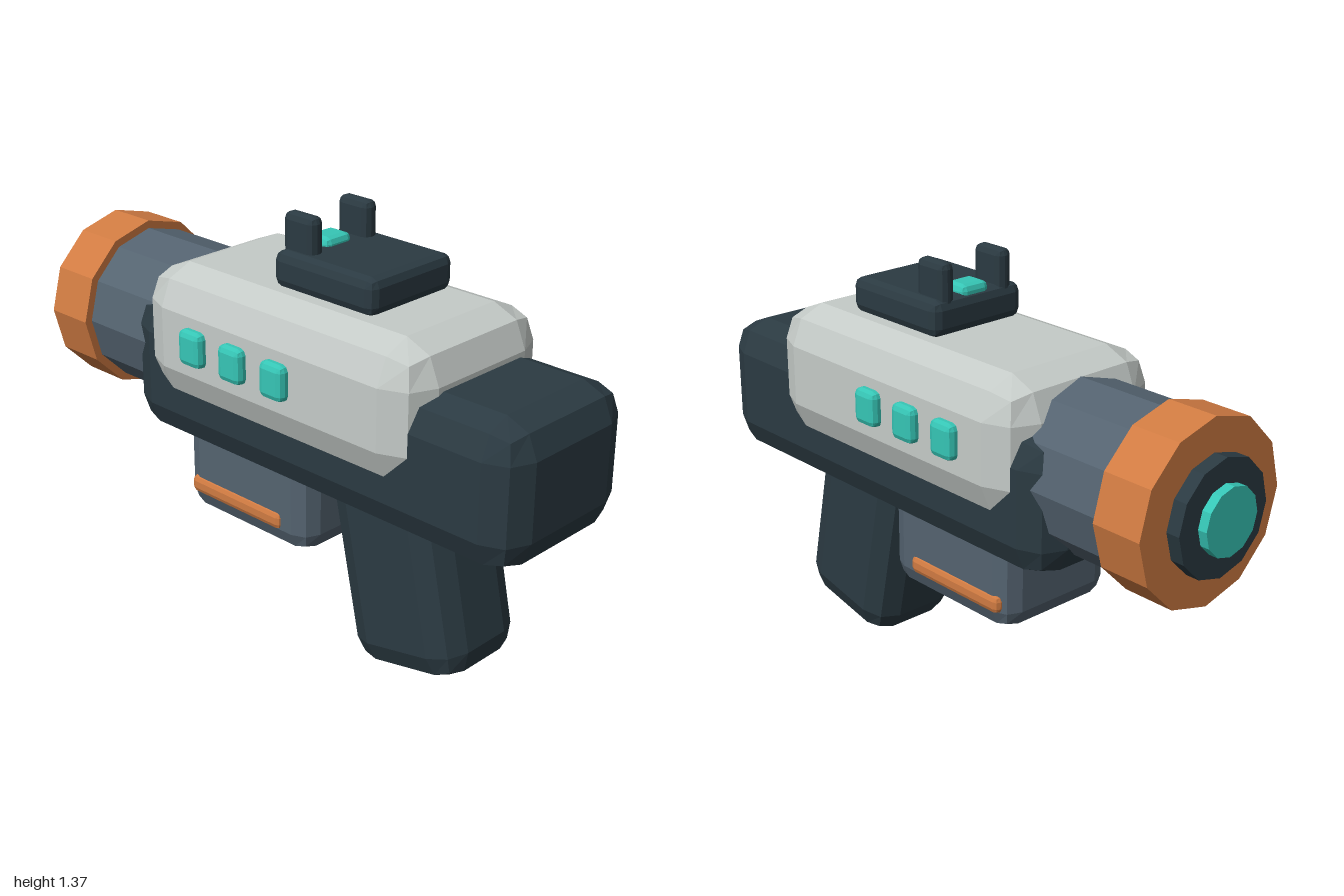
import * as THREE from 'three';
import { RoundedBoxGeometry } from 'three/addons/geometries/RoundedBoxGeometry.js';

function material(name, color) {
  const m = new THREE.MeshStandardMaterial({ color, flatShading: true });
  m.name = name;
  return m;
}

export function createModel() {
  const model = new THREE.Group();
  model.name = 'toyBlaster';
  const dark = material('darkSlate', 0x2b3a42);
  const slate = material('blueGrey', 0x546370);
  const pale = material('paleGrey', 0xc5cbc8);
  const orange = material('copperOrange', 0xd07b42);
  const teal = material('teal', 0x36c6b6);

  // Box with two-step bevels, given by its [min, max] along each axis
  function bevelBox(name, mat, [x0, x1], [y0, y1], [z0, z1], radius) {
    const geo = new RoundedBoxGeometry(x1 - x0, y1 - y0, z1 - z0, 1, radius);
    const mesh = new THREE.Mesh(geo, mat);
    mesh.name = name;
    mesh.position.set((x0 + x1) / 2, (y0 + y1) / 2, (z0 + z1) / 2);
    model.add(mesh);
    return mesh;
  }

  // Twelve-sided drum along z on the barrel axis
  function drum(name, mat, radius, z0, z1) {
    const geo = new THREE.CylinderGeometry(radius, radius, z1 - z0, 12);
    geo.rotateX(Math.PI / 2);
    const mesh = new THREE.Mesh(geo, mat);
    mesh.name = name;
    mesh.position.set(0, 0.852, (z0 + z1) / 2);
    model.add(mesh);
  }

  // Main body and pale upper shell
  bevelBox('body', dark, [-0.275, 0.275], [0.555, 1.01], [-0.55, 1], 0.105);
  bevelBox('upperShell', pale, [-0.31, 0.31], [0.71, 1.145], [-0.455, 0.675], 0.12);

  // Slanted grip
  const grip = bevelBox('grip', dark, [-0.175, 0.175], [0.018, 0.678], [0.27, 0.69], 0.09);
  grip.rotation.x = -0.21;

  // Magazine with a strip on each side
  bevelBox('magazine', slate, [-0.22, 0.22], [0.31, 0.7], [-0.35, 0.195], 0.065);

  // Barrel, muzzle ring and lens
  drum('barrel', slate, 0.259, -0.78, -0.2);
  drum('muzzleRing', orange, 0.285, -0.925, -0.755);
  drum('muzzle', dark, 0.18, -0.97, -0.9);
  drum('lens', teal, 0.105, -1, -0.95);

  // Sight rail with its indicator
  bevelBox('sightBase', dark, [-0.178, 0.178], [1.147, 1.263], [0.015, 0.413], 0.03);
  bevelBox('sightIndicator', teal, [-0.055, 0.055], [1.22, 1.288], [0.03, 0.122], 0.02);

  // Paired parts on both sides
  for (const side of [-1, 1]) {
    const across = (a, b) => (side > 0 ? [a, b] : [-b, -a]);
    bevelBox('sightPost', dark, across(0.088, 0.142), [1.2, 1.375], [0.022, 0.145], 0.022);
    bevelBox('magazineStrip', orange, across(0.18, 0.23), [0.373, 0.432], [-0.315, 0.088], 0.018);
    for (const z of [0.164, -0.012, -0.187]) {
      bevelBox('sideLight', teal, across(0.27, 0.342), [0.876, 0.991], [z - 0.048, z + 0.048], 0.02);
    }
  }
  return model;
}
